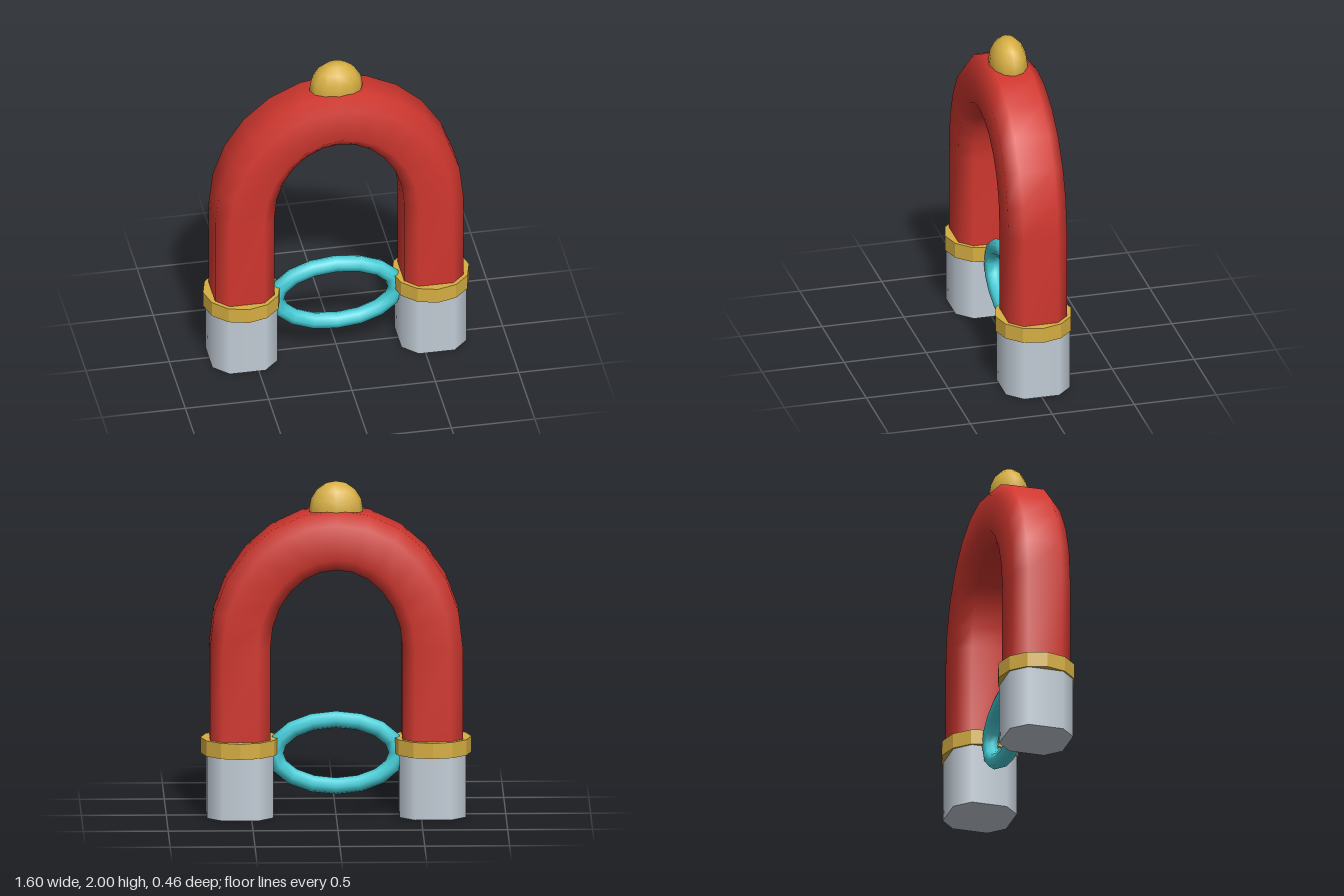
import * as THREE from 'three';

const LEG_X = 0.567;

function mat(name, color) {
  const m = new THREE.MeshStandardMaterial({ color });
  m.name = name;
  return m;
}

// Square section with cut corners: half width a, half flat b
const section = (a, b) => [[a, -b], [a, b], [b, a], [-b, a], [-a, b], [-a, -b], [-b, -a], [b, -a]];

// Sweeps the section along a path in the xy plane; each stop is [x, y, normalX, normalY]
function sweep(stops, loop) {
  const pos = [], index = [], n = loop.length;
  for (const [x, y, nx, ny] of stops)
    for (const [u, v] of loop) pos.push(x + nx * u, y + ny * u, v);
  for (let i = 0; i < stops.length - 1; i++)
    for (let j = 0; j < n; j++) {
      const a = i * n + j, b = i * n + (j + 1) % n;
      index.push(a, a + n, b, b, a + n, b + n);
    }
  const g = new THREE.BufferGeometry();
  g.setAttribute('position', new THREE.Float32BufferAttribute(pos, 3));
  g.setIndex(index);
  g.computeVertexNormals();
  return g;
}

// Eight-sided block with the same cut-corner section, smooth around the sides
function cutCornerBlock(a, b, height) {
  const g = new THREE.CylinderGeometry(1, 1, height, 8).rotateY(Math.PI / 8);
  const p = g.attributes.position;
  const fit = (c) => (Math.abs(c) < 0.01 ? 0 : Math.sign(c) * (Math.abs(c) > 0.6 ? a : b));
  for (let i = 0; i < p.count; i++) p.setXYZ(i, fit(p.getX(i)), p.getY(i), fit(p.getZ(i)));
  return g;
}

export function createModel() {
  const group = new THREE.Group();
  const red = mat('red', 0xd0372f);
  const gold = mat('gold', 0xd6ae42);
  const steel = mat('pale steel', 0xc4ced8);
  const teal = mat('turquoise', 0x46cdd7);
  gold.flatShading = false;

  const add = (name, geometry, material, x = 0, y = 0, z = 0) => {
    const m = new THREE.Mesh(geometry, material);
    m.name = name;
    m.position.set(x, y, z);
    group.add(m);
    return m;
  };

  // Horseshoe body: straight legs joined by a half-ellipse arch
  const baseY = 1.02, riseY = 0.643, steps = 12;
  const stops = [[LEG_X, 0.42, 1, 0]];
  for (let i = 0; i <= steps; i++) {
    const t = (i / steps) * Math.PI;
    const n = new THREE.Vector2(Math.cos(t) / LEG_X, Math.sin(t) / riseY).normalize();
    stops.push([LEG_X * Math.cos(t), baseY + riseY * Math.sin(t), n.x, n.y]);
  }
  stops.push([-LEG_X, 0.42, -1, 0]);
  add('horseshoeBody', sweep(stops, section(0.178, 0.104)), red);

  // Pole tips and their collars, mirrored; collars keep faceted sides
  const collar = new THREE.CylinderGeometry(0.231, 0.231, 0.094, 12).toNonIndexed();
  collar.computeVertexNormals();
  for (const [side, s] of [['left', 1], ['right', -1]]) {
    add(side + 'PoleTip', cutCornerBlock(0.195, 0.107, 0.4), steel, s * LEG_X, 0.2);
    add(side + 'Collar', collar, gold, s * LEG_X, 0.42);
  }

  // Knob on the crown
  add('topKnob', new THREE.SphereGeometry(1, 12, 8), gold, 0, 1.83).scale.set(0.16, 0.17, 0.115);

  // Oval ring between the legs
  class Oval extends THREE.Curve {
    getPoint(t, target = new THREE.Vector3()) {
      const a = t * Math.PI * 2;
      return target.set(0.36 * Math.cos(a), 0.2 * Math.sin(a), 0);
    }
    getPointAt(t, target) { return this.getPoint(t, target); }
    getTangentAt(t, target) { return this.getTangent(t, target); }
  }
  add('ovalRing', new THREE.TubeGeometry(new Oval(), 16, 0.05, 8, true), teal, 0, 0.37);

  return group;
}
